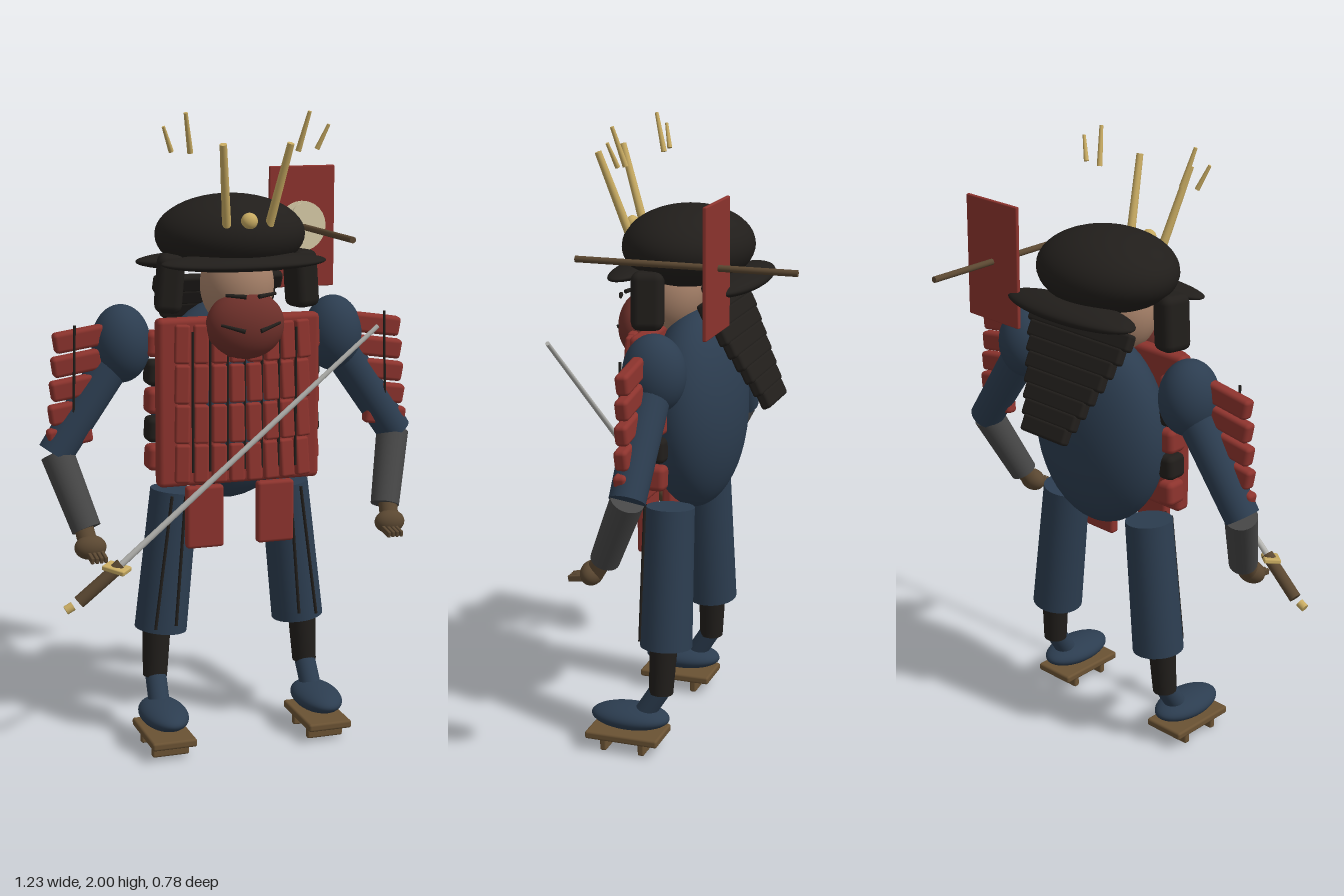
import * as THREE from 'three';
import { RoundedBoxGeometry } from 'three/addons/geometries/RoundedBoxGeometry.js';

const COLORS = {
  navy: 0x2c3d50, red: 0x8c332d, black: 0x211e1b, gold: 0xc8ab62, skin: 0xa58068,
  brown: 0x5a4731, wood: 0x6a5233, grey: 0x464646, cream: 0xd8cba8, steel: 0xb4b4b0, mask: 0x6e302a,
};
const MATS = {};
for (const key in COLORS) MATS[key] = new THREE.MeshStandardMaterial({ color: COLORS[key] });

export function createModel() {
  const model = new THREE.Group();

  function add(name, geometry, color, pos, rot = [0, 0, 0], parent = model) {
    const mesh = new THREE.Mesh(geometry, MATS[color]);
    mesh.name = name;
    mesh.position.set(...pos);
    mesh.rotation.set(...rot);
    parent.add(mesh);
    return mesh;
  }
  function ball(name, color, pos, radii, parent = model, rot) {
    return add(name, new THREE.SphereGeometry(1, 40, 24).scale(...radii), color, pos, rot, parent);
  }
  function slab(name, color, pos, size, rot, parent = model) {
    return add(name, new RoundedBoxGeometry(...size, 2, Math.min(...size) * 0.3), color, pos, rot, parent);
  }
  // Tapered rod between two points
  function rod(name, color, from, to, r0, r1 = r0, parent = model) {
    const a = new THREE.Vector3(...from), b = new THREE.Vector3(...to);
    const dir = b.clone().sub(a);
    const mesh = add(name, new THREE.CylinderGeometry(r1, r0, dir.length(), 24), color,
      a.clone().add(b).multiplyScalar(0.5).toArray(), [0, 0, 0], parent);
    mesh.quaternion.setFromUnitVectors(new THREE.Vector3(0, 1, 0), dir.normalize());
    return mesh;
  }
  function group(name) {
    const g = new THREE.Group();
    g.name = name;
    model.add(g);
    return g;
  }

  // Torso and breastplate
  ball('torso', 'navy', [0, 1.095, 0.02], [0.25, 0.325, 0.152]);
  const armour = group('chestArmour');
  slab('breastplate', 'red', [0, 1.11, 0.128], [0.53, 0.53, 0.055], undefined, armour);
  for (let row = 0; row < 4; row++) {
    const y = 1.30 - row * 0.125;
    for (let i = 0; i < 8; i++) {
      const x = (i - 3.5) * 0.056;
      slab('chestScale', 'red', [x, y, 0.205 - x * x * 0.7], [0.047, 0.12, 0.028], [-0.08, x, x * 0.25], armour);
    }
  }
  for (let i = -3; i <= 3; i++) {
    const x = i * 0.056;
    rod('chestLace', 'black', [x, 1.34, 0.198], [x, 0.9, 0.198], 0.004, 0.004, armour);
  }

  // Helmet, face and mask
  const head = group('head');
  ball('face', 'skin', [0, 1.47, 0.12], [0.115, 0.14, 0.115], head);
  ball('faceMask', 'mask', [0, 1.355, 0.2], [0.125, 0.108, 0.077], head);
  ball('helmetBowl', 'black', [0, 1.62, 0.05], [0.238, 0.126, 0.206], head);
  ball('visor', 'black', [0, 1.547, 0.195], [0.265, 0.024, 0.08], head, [0.12, 0, 0]);
  ball('rearBrim', 'black', [0, 1.522, -0.115], [0.26, 0.032, 0.09], head);
  ball('crestBead', 'gold', [0, 1.675, 0.238], [0.026, 0.026, 0.022], head);
  // Neck guard
  for (let i = 0; i < 8; i++) {
    const t = i / 7;
    slab('neckLame', 'black', [0, 1.455 - 0.295 * t, -0.07 - 0.155 * t],
      [0.43 - 0.24 * t, 0.055, 0.034], [0.45, 0, 0], head);
  }

  // Banner on its pole
  const banner = group('banner');
  slab('bannerCloth', 'red', [0.31, 1.615, -0.142], [0.225, 0.395, 0.013], undefined, banner);
  rod('bannerPole', 'brown', [0.31, 1.615, -0.39], [0.31, 1.615, 0.305], 0.01, 0.01, banner);
  rod('bannerDisc', 'cream', [0.308, 1.617, -0.136], [0.308, 1.617, -0.128], 0.082, 0.082, banner);
  rod('bannerSmallDisc', 'cream', [0.308, 1.655, -0.13], [0.308, 1.655, -0.122], 0.036, 0.036, banner);

  // Sword
  const sword = group('sword');
  rod('blade', 'steel', [-0.44, 0.67, 0.345], [0.365, 1.36, 0.38], 0.01, 0.007, sword);
  rod('swordGrip', 'brown', [-0.44, 0.67, 0.345], [-0.57, 0.562, 0.335], 0.02, 0.02, sword);
  slab('swordGuard', 'gold', [-0.455, 0.66, 0.347], [0.075, 0.016, 0.055], [0.1, -0.75, -0.1], sword);
  rod('pommel', 'gold', [-0.588, 0.552, 0.335], [-0.611, 0.54, 0.335], 0.014, 0.014, sword);

  // Mirrored parts
  for (const s of [-1, 1]) {
    const side = s > 0 ? 'left' : 'right';

    // Horns, crest splinters, cheek guards and mask details
    rod(side + 'Horn', 'gold', [s * 0.068, 1.66, 0.225], [s * 0.106, 1.91, 0.308], 0.014, 0.011, head);
    rod('innerSplinter', 'gold', [s * 0.172, 1.88, 0.193], [s * 0.196, 2, 0.226], 0.009, 0.006, head);
    rod('outerSplinter', 'gold', [s * 0.232, 1.885, 0.195], [s * 0.262, 1.96, 0.216], 0.008, 0.005, head);
    slab(side + 'CheekGuard', 'black', [s * 0.215, 1.48, 0.11], [0.085, 0.18, 0.1], [0, s * 0.25, s * 0.08], head);
    rod('brow', 'black', [s * 0.02, 1.45, 0.272], [s * 0.08, 1.455, 0.25], 0.007, 0.005, head);
    rod('moustache', 'black', [s * 0.025, 1.345, 0.278], [s * 0.095, 1.365, 0.255], 0.007, 0.004, head);

    // Side plates and hanging skirt plates
    for (let i = 0; i < 5; i++) {
      slab('sidePlate', i % 2 ? 'black' : 'red', [s * 0.255, 1.29 - i * 0.09, 0.075],
        [0.06, 0.08, 0.075], [0, 0, s * 0.06], armour);
    }
    slab('skirtPlate', 'red', [s * 0.117, 0.745, 0.15], [0.122, 0.2, 0.035], undefined, armour);

    // Arm
    const arm = group(side + 'Arm');
    ball('shoulder', 'navy', [s * 0.352, 1.29, 0.04], [0.092, 0.122, 0.098], arm);
    rod('upperArm', 'navy', [s * 0.37, 1.25, 0.04], [s * 0.57, 0.955, 0.048], 0.062, 0.056, arm);
    rod('forearm', 'grey', [s * 0.563, 0.955, 0.05], [s * 0.498, 0.735, 0.15], 0.052, 0.046, arm);
    rod('wrist', 'brown', [s * 0.51, 0.76, 0.14], [s * 0.5, 0.69, 0.185], 0.03, 0.03, arm);
    ball('hand', 'brown', [s * 0.497, 0.688, 0.193], [0.05, 0.038, 0.035], arm);
    for (let i = 0; i < 4; i++) {
      slab('finger', 'brown', [s * (0.466 + i * 0.014), 0.668, 0.24], [0.011, 0.02, 0.055], [0.15, 0, 0], arm);
    }
    // Shoulder lames and their laces
    for (let i = 0; i < 5; i++) {
      slab('shoulderLame', 'red', [s * (0.49 + i * 0.009), 1.315 - i * 0.075, 0.063],
        [0.165 - i * 0.006, 0.064, 0.042], [0.05, 0, -s * 0.15], arm);
    }
    rod('shoulderLace', 'black', [s * 0.51, 1.36, 0.088], [s * 0.52, 1.0, 0.088], 0.004, 0.004, arm);

    // Leg, foot and raised sandal
    const leg = group(side + 'Leg');
    rod('thigh', 'navy', [s * 0.185, 0.815, 0.05], [s * 0.234, 0.36, 0.05], 0.077, 0.084, leg);
    rod('innerPleat', 'black', [s * 0.175, 0.81, 0.139], [s * 0.208, 0.39, 0.139], 0.005, 0.005, leg);
    rod('outerPleat', 'black', [s * 0.215, 0.81, 0.126], [s * 0.272, 0.38, 0.126], 0.005, 0.005, leg);
    rod('shin', 'black', [s * 0.248, 0.38, 0.053], [s * 0.257, 0.205, 0.06], 0.046, 0.039, leg);
    rod('ankle', 'navy', [s * 0.256, 0.215, 0.062], [s * 0.26, 0.115, 0.125], 0.034, 0.034, leg);
    ball('foot', 'navy', [s * 0.26, 0.112, 0.165], [0.075, 0.04, 0.132], leg);
    slab('sandalSole', 'wood', [s * 0.26, 0.053, 0.175], [0.145, 0.026, 0.248], undefined, leg);
    for (const z of [0.11, 0.24]) {
      slab('sandalTooth', 'wood', [s * 0.26, 0.023, z], [0.12, 0.046, 0.022], undefined, leg);
    }
  }
  return model;
}
